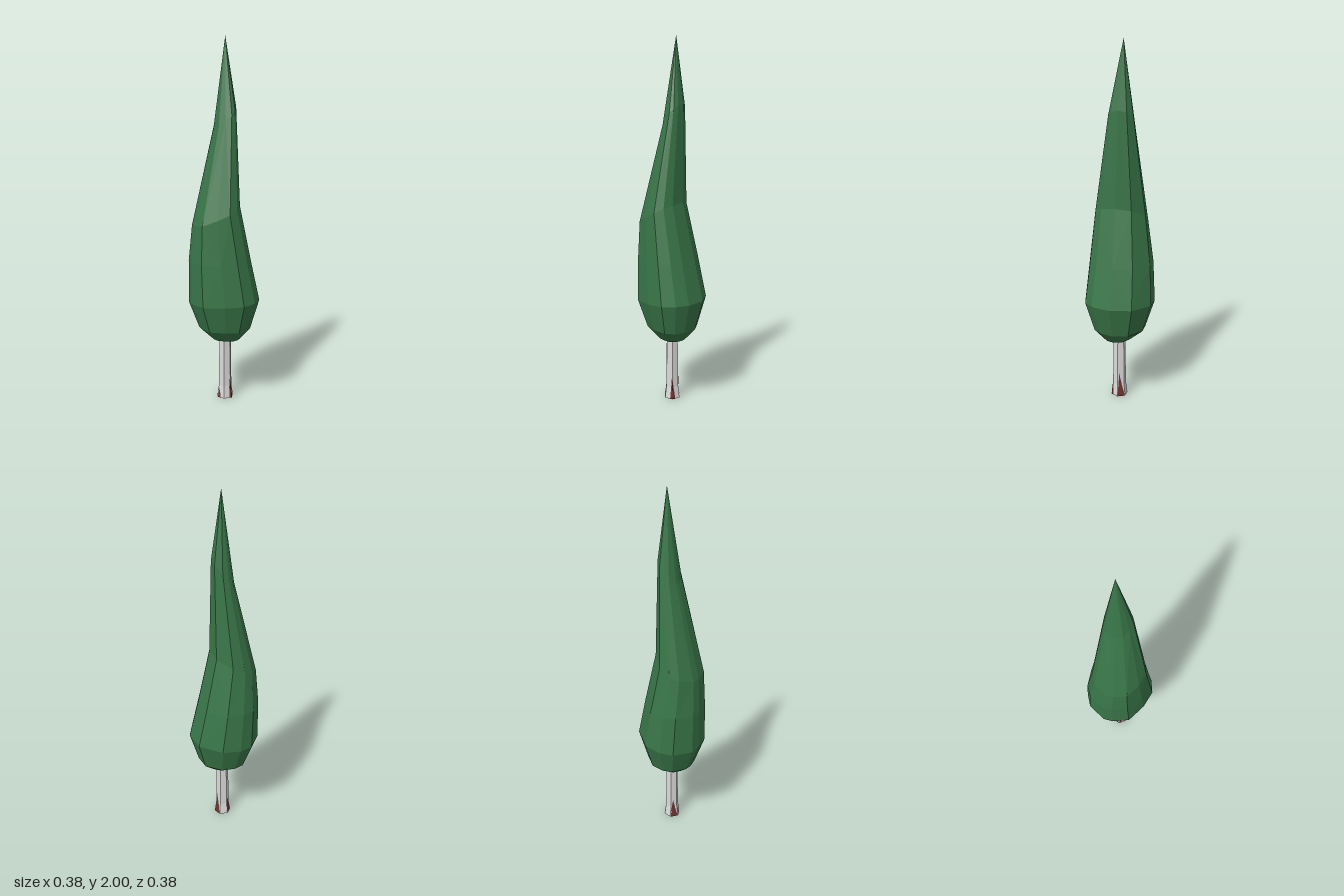
import * as THREE from 'three';

const mat = (name, color, extra = {}) => {
  const m = new THREE.MeshStandardMaterial({ color, flatShading: true, ...extra });
  m.name = name;
  return m;
};

function meshFrom(name, positions, material) {
  const g = new THREE.BufferGeometry();
  g.setAttribute('position', new THREE.Float32BufferAttribute(positions, 3));
  g.computeVertexNormals();
  const mesh = new THREE.Mesh(g, material);
  mesh.name = name;
  return mesh;
}

// Faceted skin through a stack of rings (bottom to top)
function skin(rings) {
  const out = [];
  for (let i = 0; i < rings.length - 1; i++) {
    const lo = rings[i], hi = rings[i + 1], n = lo.length;
    for (let j = 0; j < n; j++) {
      const k = (j + 1) % n;
      // alternate the diagonal for an irregular, hand-cut look
      if ((i + j) % 2) out.push(...lo[j], ...lo[k], ...hi[k], ...lo[j], ...hi[k], ...hi[j]);
      else out.push(...lo[j], ...lo[k], ...hi[j], ...lo[k], ...hi[k], ...hi[j]);
    }
  }
  return out;
}

// Trunk: six sides, flared at the foot
const trunkProfile = [[0, 0.047], [0.07, 0.038], [0.4, 0.034]];
const radiusAt = (y) => {
  const i = y < 0.07 ? 0 : 1;
  const [y0, r0] = trunkProfile[i], [y1, r1] = trunkProfile[i + 1];
  return r0 + (r1 - r0) * (y - y0) / (y1 - y0);
};
// Point on the hexagonal trunk, at an angle in degrees from the front
function trunkPoint(deg, y, offset = 0) {
  const local = ((deg - 30) % 60 + 60) % 60 - 30;
  const r = radiusAt(y) * Math.cos(Math.PI / 6) / Math.cos(local * Math.PI / 180) + offset;
  const a = deg * Math.PI / 180;
  return [r * Math.sin(a), y, r * Math.cos(a)];
}

export function createModel() {
  const tree = new THREE.Group();
  tree.name = 'cypressTree';
  const leaf = mat('leaf green', 0x397648);
  const bark = mat('pale bark', 0xdadada);
  const root = mat('red brown bark', 0x6e3430, { side: THREE.DoubleSide });

  // Foliage outline, front round to left, in units of its half width
  const outline = [[0.2, 1], [0.58, 0.87], [0.84, 0.58], [1, 0], [0.81, -0.6], [0.18, -1],
    [-0.35, -0.98], [-0.71, -0.8], [-1, -0.28], [-1, 0.02], [-0.84, 0.5], [-0.31, 0.84]];
  // Height, tilt, then left, right, back and front limits
  const levels = [
    [0.35, 0, -0.07, 0.08, -0.06, 0.08],
    [0.415, 0, -0.14, 0.14, -0.14, 0.14],
    [0.575, 0.01, -0.195, 0.19, -0.19, 0.19],
    [0.8, 0, -0.195, 0.14, -0.175, 0.172],
    [1.06, 0.06, -0.18, 0.07, -0.137, 0.15],
    [1.58, 0.06, -0.055, 0.06, -0.082, 0.06],
  ];
  const rings = levels.map(([y, tilt, x0, x1, z0, z1]) => outline.map(([u, v]) => [
    (x0 + x1) / 2 + u * (x1 - x0) / 2, y + tilt * u, (z0 + z1) / 2 + v * (z1 - z0) / 2]));
  const pole = (x, y, z) => outline.map(() => [x, y, z]);
  rings.unshift(pole(0, 0.35, 0.01));
  rings.push(pole(0.01, 2, -0.025));
  tree.add(meshFrom('foliage', skin(rings), leaf));

  // Trunk with closed foot
  const corners = [30, 90, 150, 210, 270, 330];
  const trunkRings = trunkProfile.map(([y]) => corners.map((d) => trunkPoint(d, y)));
  trunkRings.unshift(corners.map(() => [0, 0, 0]));
  tree.add(meshFrom('trunk', skin(trunkRings), bark));

  // Pointed patches of bare bark around the foot: from, to, peak angle and height
  const patches = [[12, 52, 26, 0.13], [92, 148, 104, 0.14], [205, 268, 232, 0.12], [275, 300, 285, 0.06]];
  for (const [from, to, peak, top] of patches) {
    const mid = Math.min(0.07, top * 0.5), steps = 6, bands = [];
    for (const [y, f] of [[0, 1], [mid, 0.55], [top, 0]]) {
      const row = [];
      for (let i = 0; i <= steps; i++) {
        const d = from + (to - from) * i / steps;
        row.push(trunkPoint(peak + (d - peak) * f, y, 0.0015));
      }
      bands.push(row);
    }
    const pos = [];
    for (let b = 0; b < 2; b++) {
      for (let i = 0; i < steps; i++) {
        const [lo, hi] = [bands[b], bands[b + 1]];
        pos.push(...lo[i], ...lo[i + 1], ...hi[i + 1]);
        if (b === 0) pos.push(...lo[i], ...hi[i + 1], ...hi[i]);
      }
    }
    tree.add(meshFrom('barkPatch', pos, root));
  }
  return tree;
}
